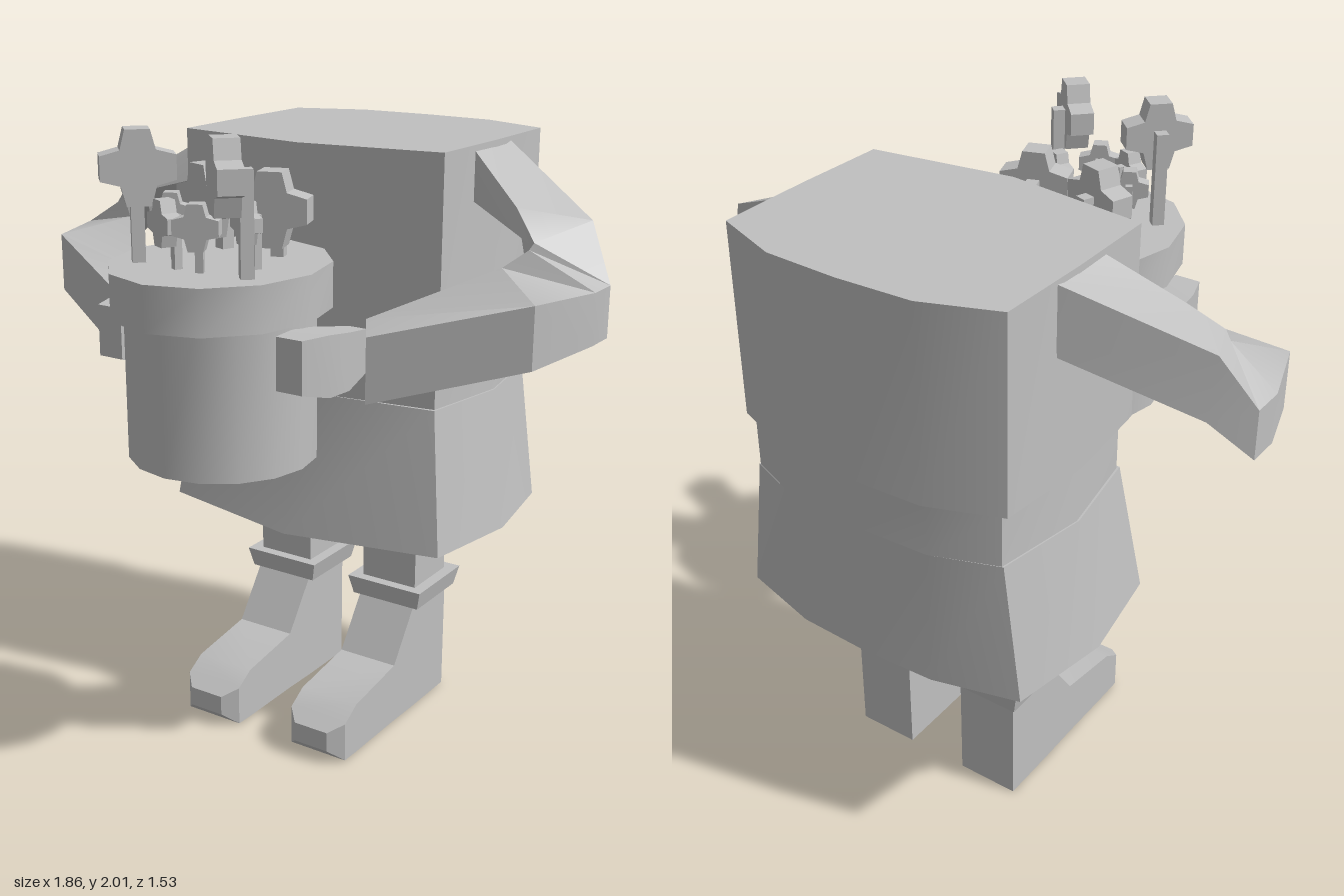
import * as THREE from 'three';
import { toCreasedNormals } from 'three/addons/utils/BufferGeometryUtils.js';

const V = (p) => new THREE.Vector3(...p);

// Closed solid through rings of [x, y, z] points, with capped ends, wound outwards
function loft(rings, crease = 0.45) {
  const tris = [], n = rings[0].length, last = rings.length - 1;
  for (let r = 0; r < last; r++) {
    for (let i = 0; i < n; i++) {
      const j = (i + 1) % n, a = rings[r], b = rings[r + 1];
      tris.push([a[i], a[j], b[j]], [a[i], b[j], b[i]]);
    }
  }
  for (let i = 1; i < n - 1; i++) {
    tris.push([rings[0][0], rings[0][i + 1], rings[0][i]]);
    tris.push([rings[last][0], rings[last][i], rings[last][i + 1]]);
  }
  const volume = tris.reduce((s, [a, b, c]) => s + V(a).dot(V(b).cross(V(c))), 0);
  if (volume < 0) tris.forEach((t) => t.reverse());
  const geo = new THREE.BufferGeometry();
  geo.setAttribute('position', new THREE.Float32BufferAttribute(tris.flat(2), 3));
  return toCreasedNormals(geo, crease);
}

// Body outline at one height: corner and side half widths, then depths
function bodyRing(y, corner, side, frontMid, front, back, backMid) {
  const half = [[corner, front], [side, (front + back) / 2], [corner, back], [0.24, backMid + 0.01]];
  return [
    [0, y, frontMid],
    ...half.map(([x, z]) => [x, y, z]),
    [0, y, backMid],
    ...half.reverse().map(([x, z]) => [-x, y, z]),
  ];
}

// Rectangles across y (for cuffs) and across z (for boots and hands)
const flatRing = (y, x, z, w, d) =>
  [[x - w, y, z - d], [x + w, y, z - d], [x + w, y, z + d], [x - w, y, z + d]];
const uprightRing = (z, x0, x1, y0, y1) => [[x0, y0, z], [x1, y0, z], [x1, y1, z], [x0, y1, z]];

// Blunt four-pointed flower head
function flowerGeometry(r) {
  const shape = new THREE.Shape(), pts = [];
  for (let i = 0; i < 4; i++) {
    const a = (i * Math.PI) / 2, c = Math.cos(a), s = Math.sin(a);
    for (const [u, v] of [[r, -0.33 * r], [r, 0.33 * r], [0.47 * r, 0.47 * r]]) {
      pts.push(new THREE.Vector2(u * c - v * s, u * s + v * c));
    }
  }
  shape.setFromPoints(pts);
  const depth = 0.7 * r;
  return new THREE.ExtrudeGeometry(shape, { depth, bevelEnabled: false }).translate(0, 0, -depth / 2);
}

export function createModel() {
  const group = new THREE.Group();
  const grey = new THREE.MeshStandardMaterial({ color: 0xc0c0c0 });
  grey.name = 'grey';
  const add = (name, geo, parent = group) => {
    const mesh = new THREE.Mesh(geo, grey);
    mesh.name = name;
    parent.add(mesh);
    return mesh;
  };

  // Torso, waist and skirt
  add('torso', loft([
    bodyRing(1.3, 0.465, 0.495, 0.025, -0.04, -0.67, -0.765),
    bodyRing(1.91, 0.465, 0.47, 0.025, -0.04, -0.67, -0.765),
  ]));
  add('waist', loft([
    bodyRing(1.125, 0.44, 0.49, 0, -0.07, -0.66, -0.745),
    bodyRing(1.3, 0.44, 0.48, 0, -0.07, -0.66, -0.745),
  ]));
  add('skirt', loft([
    bodyRing(0.675, 0.505, 0.56, 0.105, 0, -0.665, -0.745),
    bodyRing(1.125, 0.445, 0.495, 0, -0.06, -0.66, -0.745),
  ]));

  for (const s of [1, -1]) {
    const side = s > 0 ? 'left' : 'right';
    const mirror = (rings) => rings.map((ring) => ring.map(([x, y, z]) => [s * x, y, z]));

    // Leg, cuff and boot
    add(side + 'Leg', new THREE.BoxGeometry(0.2, 0.33, 0.2).translate(s * 0.207, 0.535, -0.315));
    add(side + 'Cuff', loft(mirror([
      flatRing(0.375, 0.207, -0.318, 0.123, 0.125),
      flatRing(0.44, 0.207, -0.318, 0.138, 0.138),
    ])));
    add(side + 'Boot', loft(mirror([
      uprightRing(-0.418, 0.105, 0.31, 0, 0.38),
      uprightRing(-0.205, 0.105, 0.31, 0, 0.38),
      uprightRing(-0.085, 0.105, 0.31, 0.003, 0.21),
      uprightRing(0.15, 0.105, 0.31, 0.003, 0.175),
      uprightRing(0.215, 0.105, 0.31, 0.005, 0.135),
      uprightRing(0.258, 0.147, 0.268, 0.045, 0.11),
    ])));

    // Arm: outer top, inner top, inner bottom, outer bottom at each bend
    add(side + 'Arm', loft(mirror([
      [[0.44, 1.91, -0.47], [0.44, 1.91, -0.24], [0.44, 1.75, -0.24], [0.44, 1.7, -0.47]],
      [[0.835, 1.72, -0.26], [0.66, 1.76, -0.12], [0.73, 1.67, -0.07], [0.82, 1.52, -0.27]],
      [[0.93, 1.555, -0.19], [0.75, 1.68, -0.055], [0.755, 1.5, -0.05], [0.93, 1.4, -0.19]],
      [[0.93, 1.555, -0.085], [0.74, 1.66, -0.045], [0.745, 1.47, -0.04], [0.93, 1.4, -0.085]],
      [[0.855, 1.555, 0.145], [0.68, 1.61, 0.0], [0.7, 1.42, 0.0], [0.855, 1.37, 0.145]],
      [[0.445, 1.45, 0.345], [0.36, 1.46, 0.205], [0.37, 1.28, 0.205], [0.445, 1.255, 0.345]],
    ])));

    // Hand gripping the pot
    add(side + 'Hand', loft(mirror([
      uprightRing(0.235, 0.325, 0.38, 1.31, 1.44),
      uprightRing(0.34, 0.275, 0.39, 1.285, 1.455),
      uprightRing(0.44, 0.27, 0.39, 1.29, 1.47),
      uprightRing(0.535, 0.275, 0.36, 1.315, 1.47),
    ])));
  }

  // Flower pot
  const pot = new THREE.Group();
  pot.name = 'flowerPot';
  pot.position.z = 0.413;
  group.add(pot);
  add('potBody', toCreasedNormals(
    new THREE.CylinderGeometry(0.28, 0.28, 0.45, 16).translate(0, 1.275, 0), 0.6), pot);
  add('potRim', toCreasedNormals(
    new THREE.CylinderGeometry(0.31, 0.31, 0.135, 12).scale(1, 1, 1.125).translate(0, 1.555, 0), 0.6), pot);

  // Flowers in mirrored pairs: x, y, z, turn, radius
  const flowers = [
    [0.115, 1.77, 0.315, 0.33, 0.108],
    [0.15, 1.9, 0.585, -0.78, 0.105],
    [0.13, 1.755, 0.465, -0.5, 0.06],
    [0.055, 1.755, 0.59, 0.45, 0.065],
  ];
  for (const [x, y, z, turn, r] of flowers) {
    for (const s of [1, -1]) {
      const flower = new THREE.Group();
      flower.name = 'flower';
      flower.position.set(s * x, y, z);
      flower.rotation.y = s * turn;
      group.add(flower);
      add('flowerHead', flowerGeometry(r), flower);
      const h = y - 1.6, w = r * 0.36;
      add('stem', new THREE.BoxGeometry(w, h, w).translate(0, 0.02 - h / 2, -r * 0.52), flower);
    }
  }
  return group;
}
